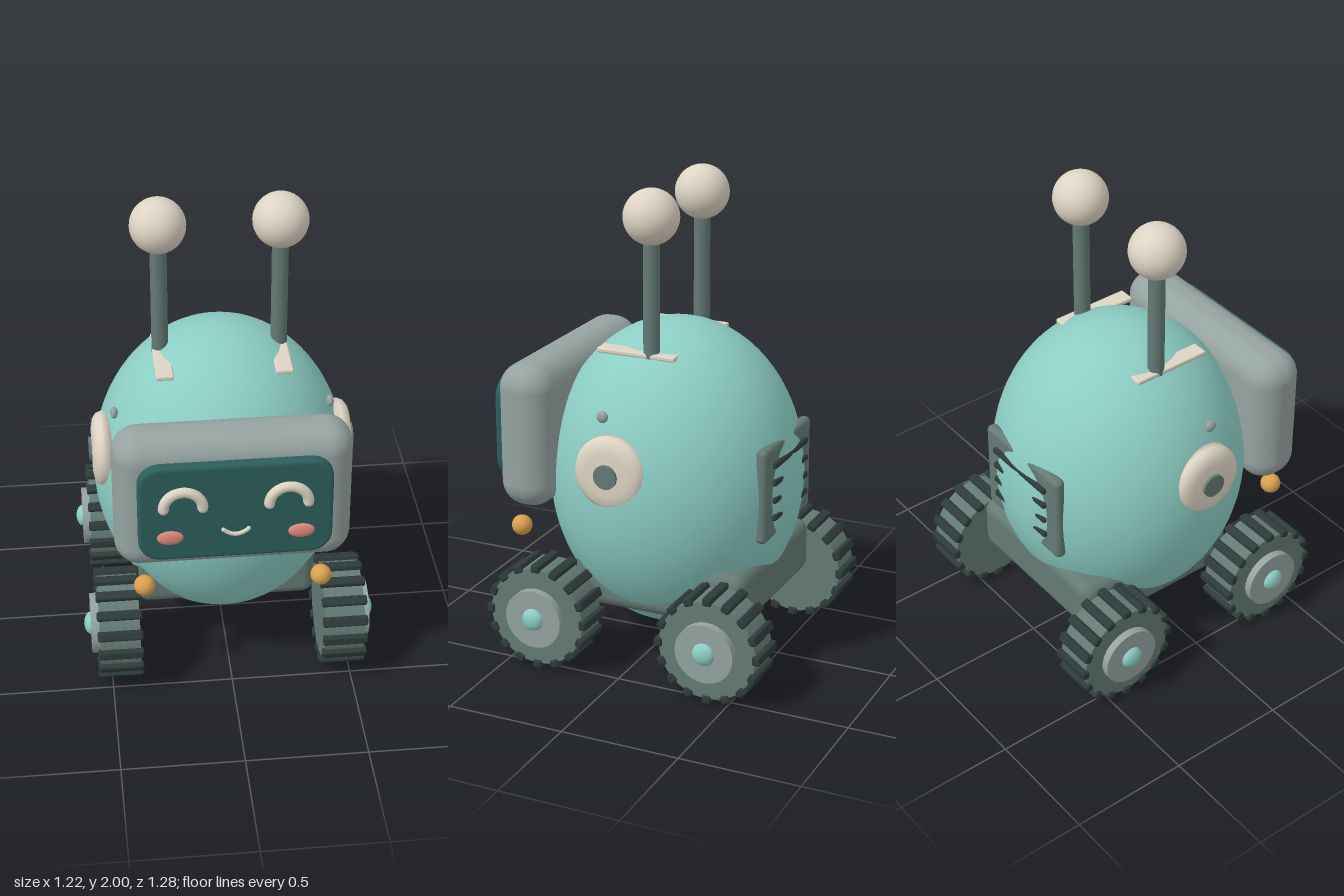
import * as THREE from 'three';
import { RoundedBoxGeometry } from 'three/addons/geometries/RoundedBoxGeometry.js';

const mat = (name, color) => {
  const m = new THREE.MeshStandardMaterial({ color });
  m.name = name;
  return m;
};

export function createModel() {
  const teal = mat('teal shell', 0x8ccdc4);
  const cream = mat('cream', 0xddd4c4);
  const grey = mat('light grey', 0x95a3a0);
  const slate = mat('slate', 0x647a74);
  const rubber = mat('dark rubber', 0x2e3b3a);
  const glass = mat('screen glass', 0x2c5e5c);
  const pink = mat('cheek pink', 0xe08a7a);
  const amber = mat('amber', 0xd9a14f);

  const robot = new THREE.Group();
  robot.name = 'robot';
  const add = (name, geo, material, x = 0, y = 0, z = 0, parent = robot) => {
    const mesh = new THREE.Mesh(geo, material);
    mesh.name = name;
    mesh.position.set(x, y, z);
    parent.add(mesh);
    return mesh;
  };
  const ellipsoid = (rx, ry, rz, w = 32, h = 20) => new THREE.SphereGeometry(1, w, h).scale(rx, ry, rz);
  // Cylinder lying along x
  const disc = (r, len, seg = 32) => new THREE.CylinderGeometry(r, r, len, seg).rotateZ(-Math.PI / 2);

  // Egg body and chassis
  add('body', ellipsoid(0.53, 0.655, 0.53, 64, 40), teal, 0, 0.755, -0.035);
  add('chassis', new RoundedBoxGeometry(0.75, 0.235, 0.76, 4, 0.05), slate, 0, 0.36, -0.11);

  // Face: frame, screen, eyes, cheeks, smile
  add('screenFrame', new RoundedBoxGeometry(0.95, 0.61, 0.235, 6, 0.105), grey, 0, 0.955, 0.46);
  const w = 0.37, h = 0.205, r = 0.075;
  const outline = new THREE.Shape();
  outline.absarc(w - r, h - r, r, 0, Math.PI / 2);
  outline.absarc(r - w, h - r, r, Math.PI / 2, Math.PI);
  outline.absarc(r - w, r - h, r, Math.PI, Math.PI * 1.5);
  outline.absarc(w - r, r - h, r, Math.PI * 1.5, Math.PI * 2);
  const screenGeo = new THREE.ExtrudeGeometry(outline, {
    depth: 0.05, bevelEnabled: true, bevelSize: 0.015, bevelThickness: 0.015, bevelSegments: 3, curveSegments: 8,
  });
  add('screen', screenGeo, glass, 0, 0.955, 0.55);
  const smile = new THREE.QuadraticBezierCurve3(
    new THREE.Vector3(-0.05, 0.874, 0.618), new THREE.Vector3(0, 0.828, 0.618), new THREE.Vector3(0.05, 0.874, 0.618));
  add('smile', new THREE.TubeGeometry(smile, 16, 0.009, 8), cream);
  for (const p of [smile.v0, smile.v2]) add('smileEnd', ellipsoid(0.009, 0.009, 0.009, 10, 8), cream, p.x, p.y, p.z);

  // Ear profile: radius, height outward
  const earProfile = [[0, 0], [0.155, 0], [0.155, 0.04], [0.147, 0.06], [0.125, 0.076], [0.09, 0.082], [0, 0.084]]
    .map(([a, b]) => new THREE.Vector2(a, b));

  for (const s of [1, -1]) {
    const side = s > 0 ? 'left' : 'right';
    const eye = new THREE.Group();
    eye.name = side + 'Eye';
    eye.position.set(s * 0.208, 0.987, 0.617);
    robot.add(eye);
    add('eyeArc', new THREE.TorusGeometry(0.077, 0.022, 12, 24, Math.PI), cream, 0, 0, 0, eye);
    for (const e of [-1, 1]) add('eyeArcEnd', ellipsoid(0.022, 0.022, 0.022, 12, 8), cream, e * 0.077, 0, 0, eye);
    add(side + 'Cheek', ellipsoid(0.053, 0.033, 0.014), pink, s * 0.26, 0.847, 0.615);

    // Ear, hub and side knob
    add(side + 'Ear', new THREE.LatheGeometry(earProfile, 32).rotateZ(-s * Math.PI / 2), cream, s * 0.455, 0.893, 0.03);
    add(side + 'EarHub', disc(0.05, 0.05), slate, s * 0.525, 0.893, 0.03);
    add(side + 'Knob', ellipsoid(0.016, 0.025, 0.025, 16, 12), grey, s * 0.443, 1.105, 0.09);

    // Antenna with base plate
    add(side + 'AntennaPlate', new RoundedBoxGeometry(0.072, 0.022, 0.345, 2, 0.008), cream, s * 0.24, 1.322, 0.027);
    add(side + 'AntennaRod', new THREE.CylinderGeometry(0.034, 0.034, 0.6, 20), slate, s * 0.243, 1.52, -0.033);
    add(side + 'AntennaBall', ellipsoid(0.113, 0.113, 0.113), cream, s * 0.243, 1.887, -0.033);

    add(side + 'Lamp', ellipsoid(0.043, 0.043, 0.043, 24, 16), amber, s * 0.36, 0.54, 0.513);

    // Wheels
    for (const [end, z] of [['Front', 0.35], ['Rear', -0.415]]) {
      const wheel = new THREE.Group();
      wheel.name = side + end + 'Wheel';
      wheel.position.set(s * 0.465, 0.23, z);
      robot.add(wheel);
      add('tyre', disc(0.209, 0.165, 40), slate, 0, 0, 0, wheel);
      add('rim', disc(0.125, 0.06), grey, s * 0.085, 0, 0, wheel);
      add('hubCap', ellipsoid(0.03, 0.048, 0.048, 20, 14), teal, s * 0.113, 0, 0, wheel);
      for (let i = 0; i < 16; i++) {
        const a = i / 16 * Math.PI * 2;
        const tread = add('tread', new RoundedBoxGeometry(0.187, 0.034, 0.04, 2, 0.009), rubber,
          0, Math.cos(a) * 0.213, Math.sin(a) * 0.213, wheel);
        tread.rotation.x = a;
      }
    }
  }

  // Back panel with vent slats
  add('backPanel', new RoundedBoxGeometry(0.49, 0.4, 0.05, 3, 0.022), slate, 0, 0.785, -0.509);
  for (let i = 0; i < 4; i++) {
    add('ventSlat', new RoundedBoxGeometry(0.35, 0.026, 0.022, 2, 0.008), rubber, 0, 0.68 + i * 0.075, -0.54);
  }
  return robot;
}
